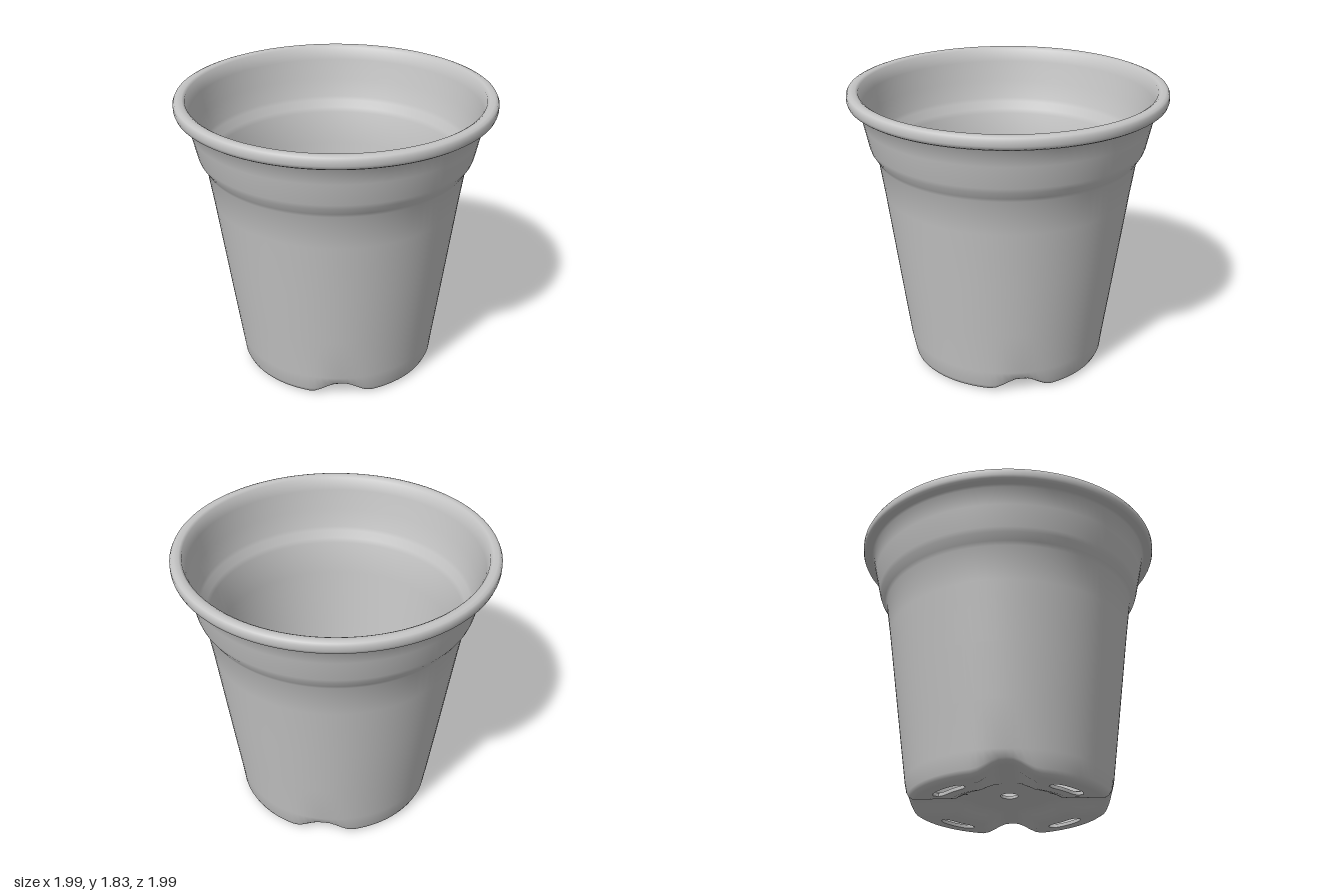
import * as THREE from 'three';
import { toCreasedNormals } from 'three/addons/utils/BufferGeometryUtils.js';

const SEG = 96;            // columns around the pot
const HALF = 4;            // half length of a slot, in columns
const STEP = (Math.PI * 2) / SEG;
const FOOT = 0.013;        // underside of the four feet
const THICK = 0.022;
const smooth = THREE.MathUtils.smoothstep;

// signed angle to the nearest axis (0, 90, 180, 270 degrees)
const fromAxis = (a) => a - Math.round(a / (Math.PI / 2)) * (Math.PI / 2);

// point at radius, angle and height; the pot leans slightly, so its base sits off centre
const place = (r, a, y) => [r * Math.sin(a) + 0.013 * (1 - y / 1.84), y, r * Math.cos(a)];

// raised centre of the floor and the four diagonal channels
function lift(r, a) {
  const d = Math.PI / 4 - Math.abs(fromAxis(a));
  const channel = 1 - smooth(r * Math.sin(d), 0.02, 0.2);
  const centre = 1 - smooth(r, 0.24, 0.4);
  return 0.075 * Math.max(channel, centre);
}

// half width of a slot, with round ends
function slotHalf(a) {
  const t = Math.min(1, Math.abs(fromAxis(a)) / (HALF * STEP));
  return 0.038 * Math.sqrt(1 - 0.8 * t ** 5);
}

export function createModel() {
  const pot = new THREE.Group();
  pot.name = 'plantPot';
  const grey = new THREE.MeshStandardMaterial({ color: 0xc5c5c5, side: THREE.DoubleSide });
  grey.name = 'light grey plastic';

  // closed profile: underside, outer wall, rim, inner wall, floor
  const radii = [0.055, 0.15, 0.24, 0.28, 0.32, 0.36, 0.4, 0.46, 0.54, 0.575, 0.605];
  const SLOT_ROW = 7;
  const under = radii.map((r) => [r, FOOT]);
  const floor = radii.map((r) => [r, FOOT + THICK]).reverse();
  const outer = [
    [0.63, 0.03], [0.641, 0.055], [0.653, 0.16], [0.692, 0.45], [0.738, 0.8], [0.788, 1.18],
    [0.82, 1.4], [0.834, 1.425], [0.862, 1.47], [0.872, 1.5], [0.902, 1.64], [0.925, 1.75],
    [0.937, 1.762], [0.975, 1.762], [0.99, 1.772], [0.996, 1.79], [0.996, 1.82],
    [0.988, 1.836], [0.97, 1.843], [0.94, 1.842],
  ];
  const inner = [
    [0.924, 1.832], [0.908, 1.75], [0.88, 1.62], [0.85, 1.5], [0.84, 1.475], [0.812, 1.43],
    [0.799, 1.4], [0.768, 1.18], [0.718, 0.8], [0.672, 0.45], [0.633, 0.16], [0.62, 0.065],
  ];
  const profile = [...under, ...outer, ...inner, ...floor, under[0]];
  const rows = profile.length;
  const geo = new THREE.LatheGeometry(profile.map(([r, y]) => new THREE.Vector2(r, y)), SEG);

  // shape the floor, the notches in the foot edge and the slot outlines
  const pos = geo.attributes.position;
  for (let v = 0; v < pos.count; v++) {
    let [r, y] = profile[v % rows];
    const a = Math.floor(v / rows) * STEP;
    y += lift(r, a) * (1 - smooth(y, 0.02, 0.14));
    if (r === 0.46) r = 0.5 - slotHalf(a);
    if (r === 0.54) r = 0.5 + slotHalf(a);
    pos.setXYZ(v, ...place(r, a, y));
  }

  // cut the four slots through both floor surfaces
  const topRow = rows - 3 - SLOT_ROW;
  const keep = [];
  const index = geo.index.array;
  for (let t = 0; t < index.length; t += 6) {
    const cell = t / 6;
    const row = cell % (rows - 1);
    const col = Math.floor(cell / (rows - 1));
    const inSlot = (col + HALF) % (SEG / 4) < HALF * 2;
    if (inSlot && (row === SLOT_ROW || row === topRow)) continue;
    keep.push(...index.slice(t, t + 6));
  }
  geo.setIndex(keep);
  geo.deleteAttribute('uv');
  const body = new THREE.Mesh(toCreasedNormals(geo, 0.9), grey);
  body.name = 'potBody';
  pot.add(body);

  // edges of the floor inside each slot
  for (let k = 0; k < 4; k++) {
    const loop = [];
    for (let i = -HALF; i <= HALF; i++) loop.push([i, -1]);
    for (let i = HALF; i >= -HALF; i--) loop.push([i, 1]);
    loop.push(loop[0]);
    const verts = [];
    const faces = [];
    loop.forEach(([i, side], n) => {
      const a = k * Math.PI / 2 + i * STEP;
      const r = 0.5 + side * slotHalf(a);
      const y = FOOT + lift(0.5 + side * 0.04, a);
      verts.push(...place(r, a, y), ...place(r, a, y + THICK));
      if (n) faces.push(2 * n - 2, 2 * n - 1, 2 * n, 2 * n, 2 * n - 1, 2 * n + 1);
    });
    const wall = new THREE.BufferGeometry();
    wall.setAttribute('position', new THREE.Float32BufferAttribute(verts, 3));
    wall.setIndex(faces);
    wall.computeVertexNormals();
    const mesh = new THREE.Mesh(wall, grey);
    mesh.name = 'drainSlotEdge' + (k + 1);
    pot.add(mesh);
  }
  return pot;
}
